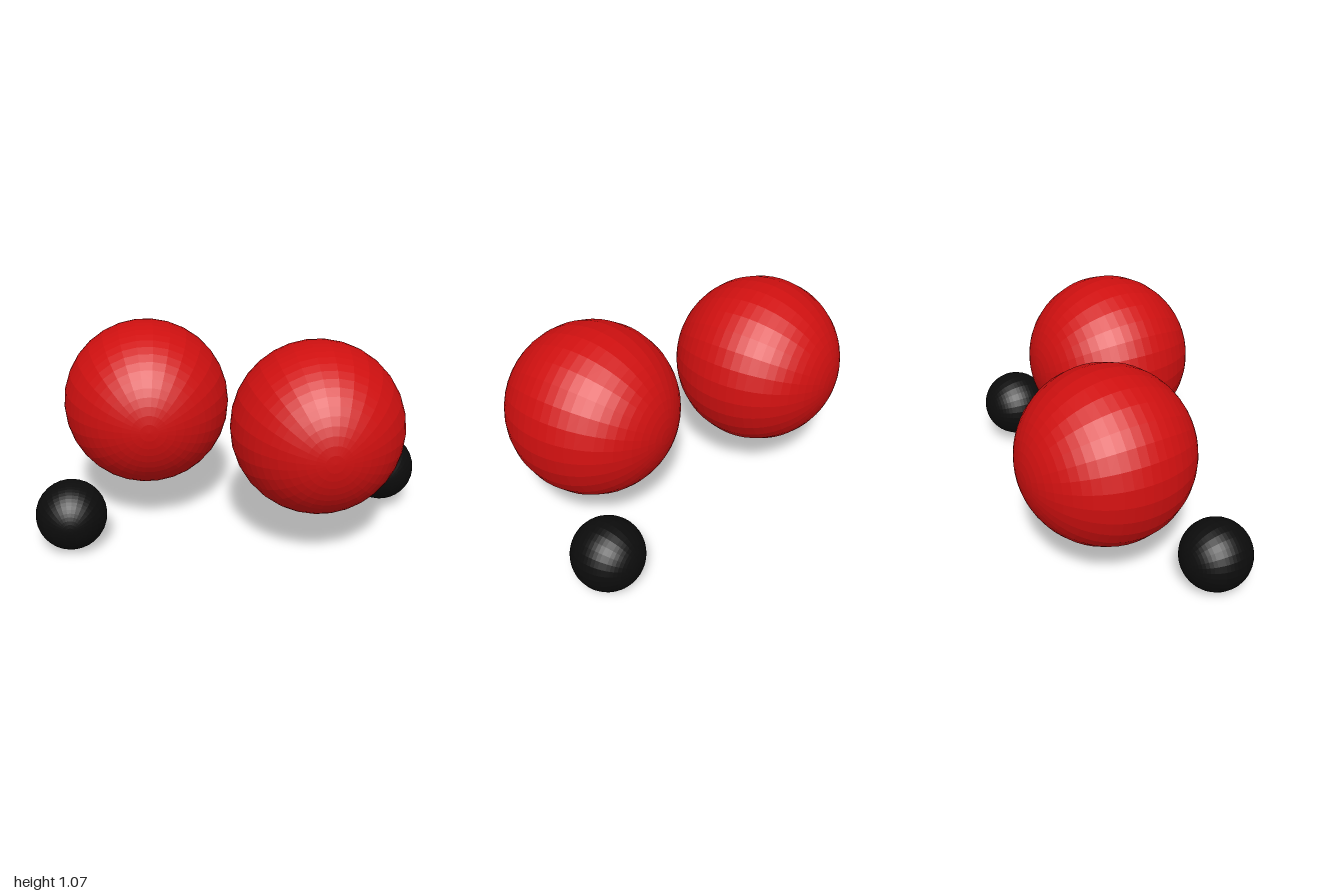
import * as THREE from 'three';

export function createModel() {
  const group = new THREE.Group();
  const red = new THREE.MeshStandardMaterial({ color: 0xd01010, flatShading: true });
  const black = new THREE.MeshStandardMaterial({ color: 0x0c0c0c, flatShading: true });

  // Faceted ball with its poles along z
  const addBall = (name, radius, material, x, y, z) => {
    const ball = new THREE.Mesh(new THREE.SphereGeometry(radius, 30, 30).rotateX(Math.PI / 2), material);
    ball.name = name;
    ball.position.set(x, y, z);
    group.add(ball);
  };

  // Two large balls, staggered front to back
  addBall('largeBallRight', 0.424, red, -0.42, 0.627, -0.235);
  addBall('largeBallLeft', 0.424, red, 0.392, 0.645, 0.232);

  // Two small balls, low and to the outside
  addBall('smallBallRight', 0.177, black, -0.823, 0.177, 0.132);
  addBall('smallBallLeft', 0.177, black, 0.823, 0.223, -0.138);

  return group;
}
